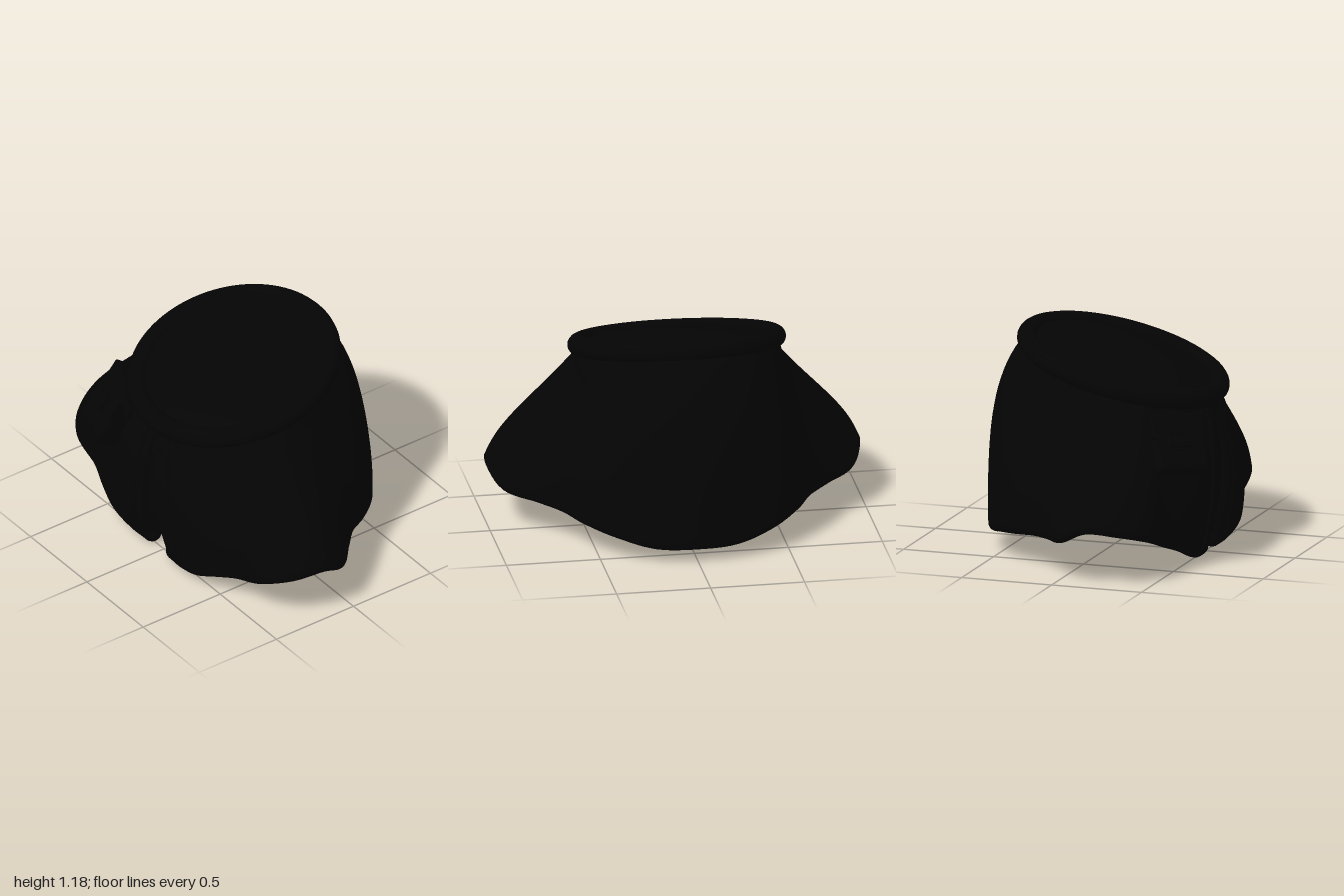
import * as THREE from 'three';
import { RoundedBoxGeometry } from 'three/addons/geometries/RoundedBoxGeometry.js';

const cloth = new THREE.MeshStandardMaterial({ color: 0x040404, side: THREE.DoubleSide });
const CZ = 0.045, TILT = 0.267, RING_R = 0.52, RING_Y = 0.99;

// Left half of the hem, from the front slit round to the back
const half = [
  [0.115, 0.05, 0.55], [0.22, 0.06, 0.56], [0.37, 0.1, 0.565], [0.49, 0.15, 0.54],
  [0.63, 0.2, 0.495], [0.82, 0.265, 0.47], [0.955, 0.31, 0.345], [0.997, 0.325, 0.18],
  [0.945, 0.255, 0.02], [0.8, 0.235, -0.12], [0.675, 0.215, -0.24], [0.585, 0.195, -0.38],
  [0.43, 0.165, -0.54], [0.23, 0.12, -0.62], [0, 0.115, -0.65],
];
const hem = new THREE.CatmullRomCurve3(
  [...half, ...half.slice(0, -1).reverse().map(([x, y, z]) => [-x, y, z])].map((p) => new THREE.Vector3(...p)));
const slitAngle = Math.atan2(half[0][0], half[0][2] - CZ);

// The cloth is thin under the collar and thick at the hem
const thickness = (t) => 0.02 + 0.08 * t;

// Point on the cloth: s runs round from slit to slit, t from collar to hem, off is outward
function clothPoint(s, t, off = 0) {
  const h = hem.getPoint(s);
  const a = Math.atan2(h.x, h.z - CZ);
  const phi = Math.sign(a) * (Math.abs(a) - slitAngle) * Math.PI / (Math.PI - slitAngle);
  const r = RING_R - 0.01;
  const top = new THREE.Vector3(r * Math.sin(phi), RING_Y - r * Math.cos(phi) * Math.sin(TILT),
    CZ + r * Math.cos(phi) * Math.cos(TILT));
  const c = Math.cos(a);
  const front = Math.max(c, 0) ** 2, back = Math.max(-c, 0) ** 2, side = 1 - c * c;
  const bulge = 0.075 * front * Math.sin(Math.PI * t)
    + 0.115 * back * Math.sin(Math.PI * t ** 0.65)
    + 0.04 * side * Math.sin(Math.PI * t ** 2);
  const p = top.lerp(h, t);
  p.x += Math.sin(a) * (bulge + off);
  p.z += c * (bulge + off);
  return p;
}

// Smooth surface through a grid of points
function grid(nu, nv, fn) {
  const pos = [], idx = [];
  for (let i = 0; i <= nu; i++) for (let j = 0; j <= nv; j++) pos.push(...fn(i / nu, j / nv, i, j).toArray());
  for (let i = 0; i < nu; i++) for (let j = 0; j < nv; j++) {
    const a = i * (nv + 1) + j, b = a + 1, c = a + nv + 1;
    idx.push(a, b, c, b, c + 1, c);
  }
  const g = new THREE.BufferGeometry();
  g.setAttribute('position', new THREE.Float32BufferAttribute(pos, 3));
  g.setIndex(idx);
  g.computeVertexNormals();
  return g;
}

function add(parent, name, geometry, x = 0, y = 0, z = 0) {
  const m = new THREE.Mesh(geometry, cloth);
  m.name = name;
  m.position.set(x, y, z);
  parent.add(m);
  return m;
}

export function createModel() {
  const model = new THREE.Group();
  model.name = 'cape';

  // Thick cloth: outer face, rounded hem, inner face
  const N = 24, R = 10, HEM = thickness(1) / 2;
  add(model, 'capeBody', grid(168, 2 * N + R, (s, v, i, j) => {
    if (j <= N) return clothPoint(s, j / N);
    if (j >= N + R) {
      const t = (2 * N + R - j) / N;
      return clothPoint(s, t, -thickness(t));
    }
    const a = Math.PI * (j - N) / R;
    const p = clothPoint(s, 1, -HEM * (1 - Math.cos(a)));
    p.y -= HEM * Math.sin(a);
    return p;
  }));

  // Tilted collar roll, filled by a low dome above and a round bowl below
  const collar = new THREE.Group();
  collar.name = 'collar';
  collar.position.set(0, RING_Y, CZ);
  collar.rotation.x = TILT;
  model.add(collar);
  add(collar, 'collarRoll', new THREE.TorusGeometry(RING_R, 0.054, 20, 96)).rotation.x = Math.PI / 2;
  add(collar, 'neckDome', new THREE.SphereGeometry(0.5, 64, 16, 0, Math.PI * 2, 0, Math.PI / 2), 0, 0, -0.01).scale.y = 0.15;
  add(collar, 'neckBowl', new THREE.SphereGeometry(0.565, 64, 32, 0, Math.PI * 2, 1.19, Math.PI - 1.19), 0, -0.21, 0);

  // Panel lapped behind the slit
  add(model, 'slitUnderlap', grid(8, 24, (u, v) => {
    const t = 0.04 + 0.9 * v;
    return clothPoint(0.012, t, -0.6 * thickness(t)).lerp(clothPoint(0.988, t, -0.6 * thickness(t)), 1 - u);
  }));

  // Rounded slit edges, raised button bands and buttons, mirrored
  for (const side of [1, -1]) {
    const at = (s) => (side > 0 ? s : 1 - s);
    add(model, 'slitEdge', grid(10, 30, (u, t) => {
      const p = clothPoint(at(0), t, -thickness(t) / 2 * (1 - Math.cos(Math.PI * u)));
      p.x -= side * (0.01 + 0.03 * t) * Math.sin(Math.PI * u);
      return p;
    }));
    add(model, 'slitEdgeEnd', new THREE.SphereGeometry(HEM, 20, 14), ...clothPoint(at(0), 1, -HEM).toArray());

    const lift = [-0.01, 0.008, 0.013, 0.013, 0.013, 0.008, -0.01];
    const across = [0, 0.04, 0.12, 0.5, 0.88, 0.96, 1];
    add(model, 'buttonBand', grid(6, 30, (u, t, i) => {
      const k = side > 0 ? i : 6 - i;
      return clothPoint(at(0.006 + 0.032 * across[k]), t * 0.995, lift[k]);
    }));
    for (const t of [0.16, 0.38, 0.6, 0.8]) {
      const b = add(model, 'button', new THREE.SphereGeometry(0.03, 20, 12),
        ...clothPoint(at(0.02), t, 0.01).toArray());
      b.scale.z = 0.3;
      b.rotation.y = side * 0.25;
    }
  }

  // Pouch on the right breast
  const pouch = new THREE.Group();
  pouch.name = 'pouch';
  pouch.position.set(-0.435, 0.67, 0.47);
  pouch.rotation.set(-0.45, -0.55, -0.12, 'YXZ');
  model.add(pouch);
  add(pouch, 'pouchBody', new RoundedBoxGeometry(0.34, 0.32, 0.13, 4, 0.035), 0, -0.01, 0.02);
  const flap = new THREE.Shape();
  flap.moveTo(-0.16, 0.13);
  flap.lineTo(0.16, 0.13);
  flap.lineTo(0.16, 0.02);
  flap.quadraticCurveTo(0.1, -0.03, 0, -0.04);
  flap.quadraticCurveTo(-0.1, -0.03, -0.16, 0.02);
  add(pouch, 'pouchFlap', new THREE.ExtrudeGeometry(flap,
    { depth: 0.08, bevelSize: 0.012, bevelThickness: 0.012, bevelSegments: 3, curveSegments: 12 }), 0, 0, -0.005);
  add(pouch, 'pouchStrap', new RoundedBoxGeometry(0.06, 0.18, 0.02, 3, 0.009), -0.02, 0.03, 0.09);
  const frame = (s, w, h) => s.moveTo(-w, -h).lineTo(w, -h).lineTo(w, h).lineTo(-w, h).lineTo(-w, -h);
  const buckle = frame(new THREE.Shape(), 0.07, 0.045);
  buckle.holes.push(frame(new THREE.Path(), 0.045, 0.022));
  add(pouch, 'pouchBuckle', new THREE.ExtrudeGeometry(buckle,
    { depth: 0.01, bevelSize: 0.005, bevelThickness: 0.005, bevelSegments: 2 }), -0.02, 0.01, 0.092);

  // Short tab tying the pouch to the button band
  const tab = add(model, 'pouchTab', new RoundedBoxGeometry(0.13, 0.07, 0.04, 3, 0.015), -0.27, 0.775, 0.545);
  tab.rotation.set(-0.25, -0.45, 0.1, 'YXZ');
  return model;
}
